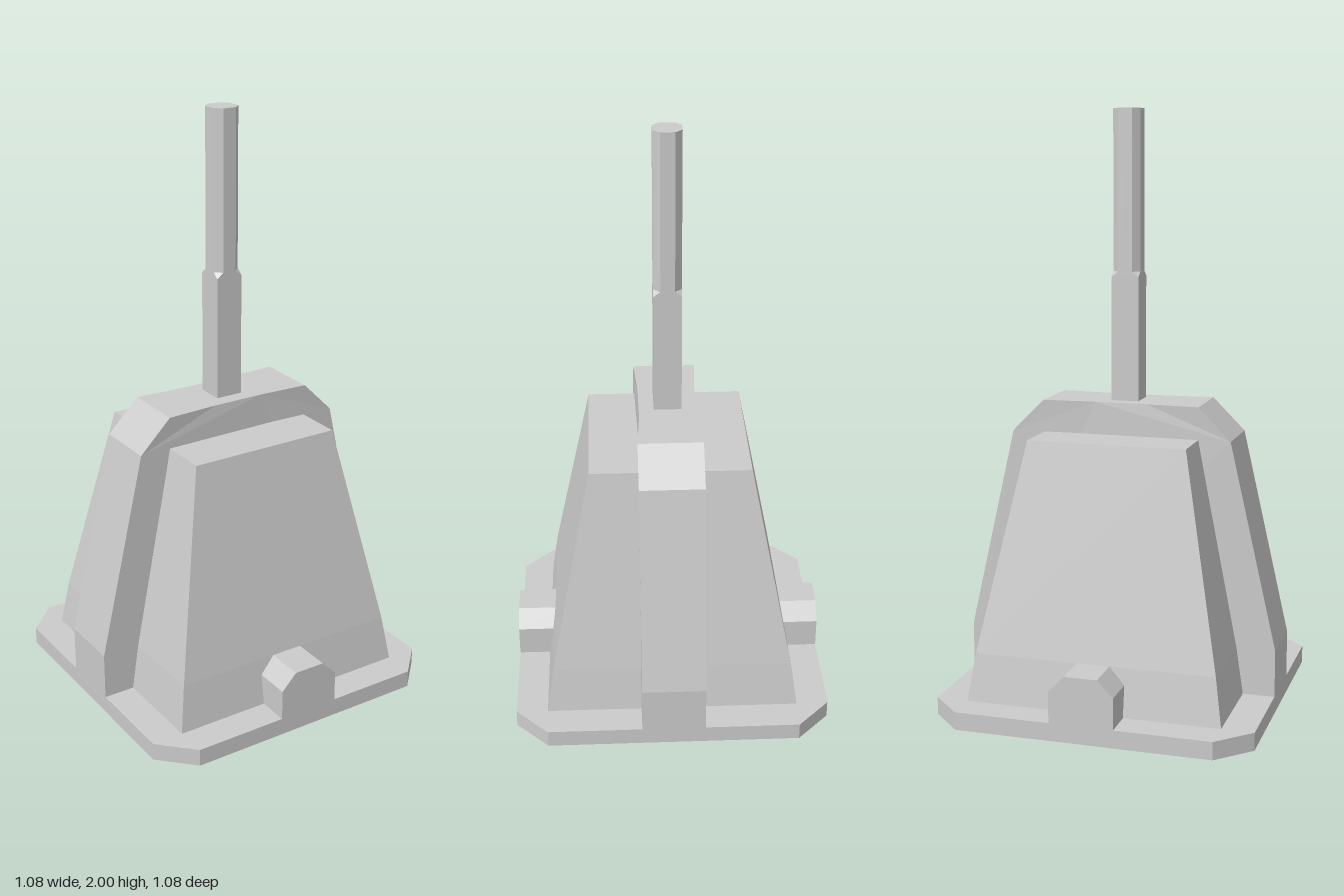
import * as THREE from 'three';

const material = new THREE.MeshStandardMaterial({ color: 0xcccccc, flatShading: true });

// Square of half width h with corners cut so each flat ends at +-c (c = h: sharp corners)
const octagon = (h, c) => [
  [h, -c], [h, c], [c, h], [-c, h], [-h, c], [-h, -c], [-c, -h], [c, -h],
];

// Closed solid through stacked sections, each [y, half width, flat half length]
function loft(sections) {
  const rings = sections.map(([y, h, c]) =>
    octagon(h, c).map(([x, z]) => new THREE.Vector3(x, y, z)));
  const pos = [];
  const tri = (a, b, c) => {
    if (new THREE.Triangle(a, b, c).getArea() < 1e-9) return;
    for (const v of [a, b, c]) pos.push(v.x, v.y, v.z);
  };
  for (let r = 0; r < rings.length - 1; r++) {
    const lo = rings[r], hi = rings[r + 1];
    for (let i = 0; i < 8; i++) {
      const j = (i + 1) % 8;
      tri(lo[i], hi[i], lo[j]);
      tri(lo[j], hi[i], hi[j]);
    }
  }
  const bottom = rings[0], top = rings[rings.length - 1];
  for (let i = 1; i < 7; i++) {
    tri(bottom[0], bottom[i], bottom[i + 1]);
    tri(top[0], top[i + 1], top[i]);
  }
  const geo = new THREE.BufferGeometry();
  geo.setAttribute('position', new THREE.Float32BufferAttribute(pos, 3));
  geo.computeVertexNormals();
  return geo;
}

// Extrudes a profile that is symmetric about x = 0, given by its right half
function extrudeMirrored(half, depth) {
  const left = half.map(([x, y]) => [-x, y]).reverse();
  const shape = new THREE.Shape([...half, ...left].map(([x, y]) => new THREE.Vector2(x, y)));
  return new THREE.ExtrudeGeometry(shape, { depth, bevelEnabled: false });
}

export function createModel() {
  const model = new THREE.Group();
  const add = (name, geo) => {
    const mesh = new THREE.Mesh(geo, material);
    mesh.name = name;
    model.add(mesh);
    return mesh;
  };

  // Flat plate with cut corners
  add('basePlate', loft([[0, 0.54, 0.43], [0.06, 0.54, 0.43]]));

  // Tapered block, slightly steeper near the foot
  add('body', loft([[0.06, 0.432, 0.432], [0.22, 0.408, 0.408], [0.92, 0.27, 0.27]]));

  // Rib running over the body from side to side, pinched a little at the middle
  const ribGeo = extrudeMirrored(
    [[0.54, 0.05], [0.54, 0.22], [0.38, 0.92], [0.27, 1.03], [0.09, 1.03]], 0.216);
  ribGeo.translate(0, 0, -0.108);
  const p = ribGeo.attributes.position;
  for (let i = 0; i < p.count; i++) {
    if (Math.abs(p.getX(i)) < 0.1) p.setZ(i, Math.sign(p.getZ(i)) * 0.098);
  }
  ribGeo.computeVertexNormals();
  add('crossRib', ribGeo);

  // Chamfered lugs at front and back
  const lugGeo = extrudeMirrored([[0.108, 0.05], [0.108, 0.165], [0.055, 0.22]], 0.17);
  lugGeo.translate(0, 0, 0.37);
  add('frontLug', lugGeo);
  add('backLug', lugGeo).rotation.y = Math.PI;

  // Square shaft whose corners are cut away on the upper half
  add('shaft', loft([
    [1.02, 0.047, 0.047], [1.447, 0.047, 0.047], [1.465, 0.047, 0.024], [2, 0.047, 0.024],
  ]));

  return model;
}
